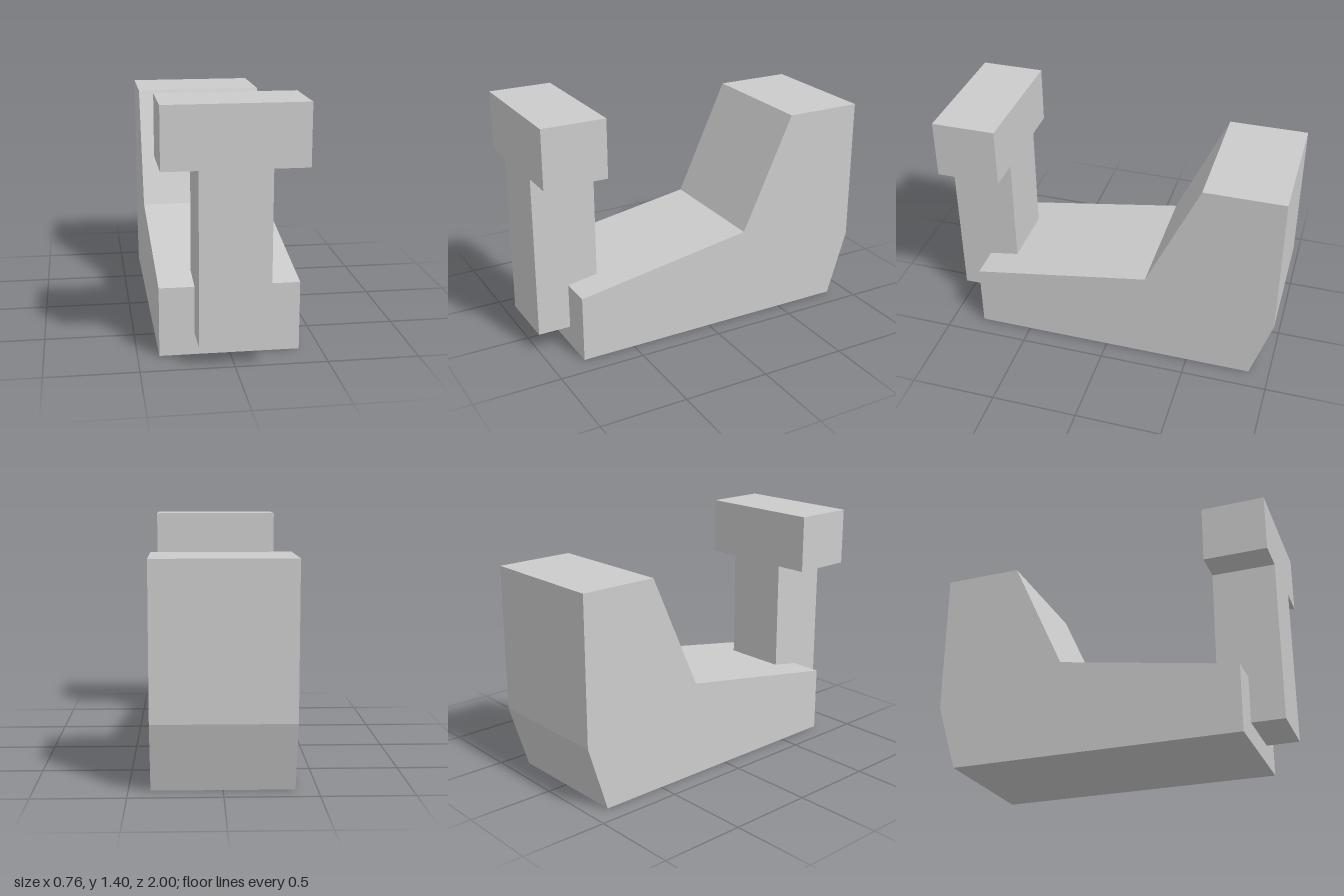
import * as THREE from 'three';

const material = new THREE.MeshStandardMaterial({ color: 0xcccccc, flatShading: true });

// Extrudes a closed outline, centred along its depth
function extrude(name, points, depth) {
  const shape = new THREE.Shape(points.map(([a, b]) => new THREE.Vector2(a, b)));
  const geometry = new THREE.ExtrudeGeometry(shape, { depth, bevelEnabled: false });
  geometry.translate(0, 0, -depth / 2);
  const mesh = new THREE.Mesh(geometry, material);
  mesh.name = name;
  return mesh;
}

export function createModel() {
  const model = new THREE.Group();
  model.name = 'model';

  // Body: side outline as (z, y), swept across the width
  const body = extrude('body', [
    [0.81, 0], [0.81, 0.385], [-0.235, 0.56], [-0.542, 1.23],
    [-1, 1.23], [-1, 0.385], [-0.88, 0],
  ], 0.765);
  body.rotation.y = -Math.PI / 2;
  model.add(body);

  // T-shaped column set into the front of the body: front outline as (x, y)
  const half = [[0.191, 0.118], [0.191, 1.062], [0.3825, 1.062], [0.3825, 1.397]];
  const mirrored = half.map(([x, y]) => [-x, y]).reverse();
  const column = extrude('steeringColumn', [...half, ...mirrored], 0.367);
  column.position.z = 0.8165;
  model.add(column);

  return model;
}
